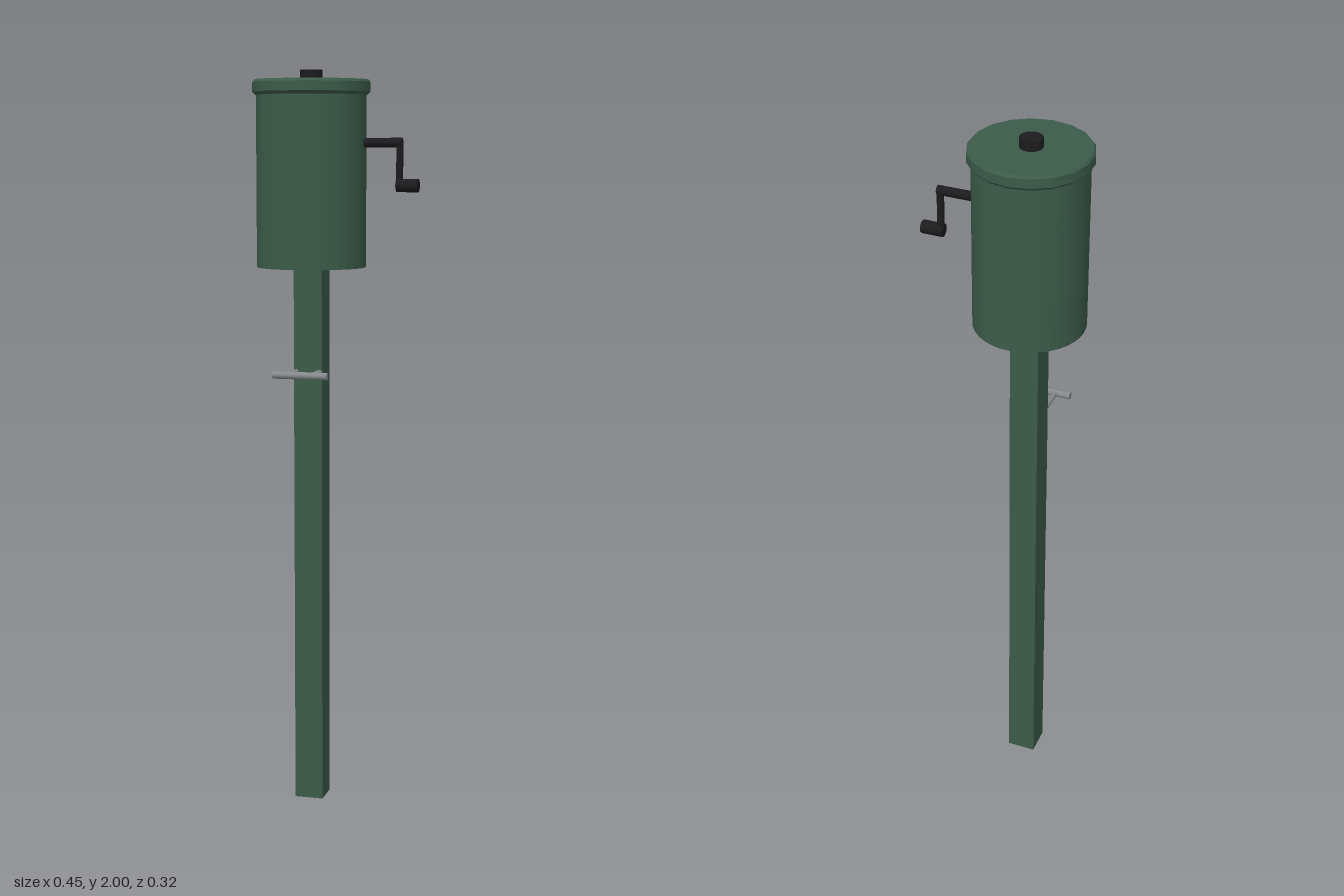
import * as THREE from 'three';
import { toCreasedNormals } from 'three/addons/utils/BufferGeometryUtils.js';

export function createModel() {
  const model = new THREE.Group();
  const material = (name, color) => {
    const m = new THREE.MeshStandardMaterial({ color });
    m.name = name;
    return m;
  };
  const green = material('green paint', 0x3c5c4a);
  const black = material('black', 0x1c1c1e);
  const steel = material('steel', 0x858a8a);

  const axisX = -0.069; // centre line of post and drum

  const add = (name, geometry, mat, x, y, z) => {
    const mesh = new THREE.Mesh(geometry, mat);
    mesh.name = name;
    mesh.position.set(x, y, z);
    model.add(mesh);
    return mesh;
  };
  // Rod centred at a point, lying along one axis
  const rod = (name, axis, radius, length, mat, x, y, z, sides = 12) => {
    const g = new THREE.CylinderGeometry(radius, radius, length, sides);
    if (axis === 'x') g.rotateZ(Math.PI / 2);
    if (axis === 'z') g.rotateX(Math.PI / 2);
    return add(name, g, mat, x, y, z);
  };

  // Square post
  add('post', new THREE.BoxGeometry(0.078, 1.485, 0.078), green, axisX, 0.7425, 0);

  // Drum with overhanging chamfered lid and top knob
  rod('drum', 'y', 0.147, 0.46, green, axisX, 1.71, 0, 36);
  const lidProfile = [
    [0, 1.935], [0.15, 1.935], [0.158, 1.943], [0.158, 1.968], [0.153, 1.975], [0, 1.975],
  ].map(([r, y]) => new THREE.Vector2(r, y));
  const lid = toCreasedNormals(new THREE.LatheGeometry(lidProfile, 18), Math.PI / 6);
  add('lid', lid, green, axisX, 0, 0);
  rod('lidKnob', 'y', 0.03, 0.03, black, axisX, 1.985, 0, 16);

  // Side crank: shaft, arm and grip
  rod('crankShaft', 'x', 0.0125, 0.115, black, 0.1225, 1.81, 0);
  rod('crankArm', 'y', 0.0095, 0.12, black, 0.173, 1.758, 0);
  rod('crankGrip', 'x', 0.0175, 0.059, black, 0.1945, 1.698, 0);

  // Small front cleat: two legs carrying a cross bar
  for (const side of [-1, 1]) {
    rod('cleatLeg', 'z', 0.008, 0.085, steel, axisX + side * 0.032, 1.198, 0.0775);
  }
  rod('cleatBar', 'x', 0.01, 0.15, steel, axisX, 1.198, 0.115);

  return model;
}
